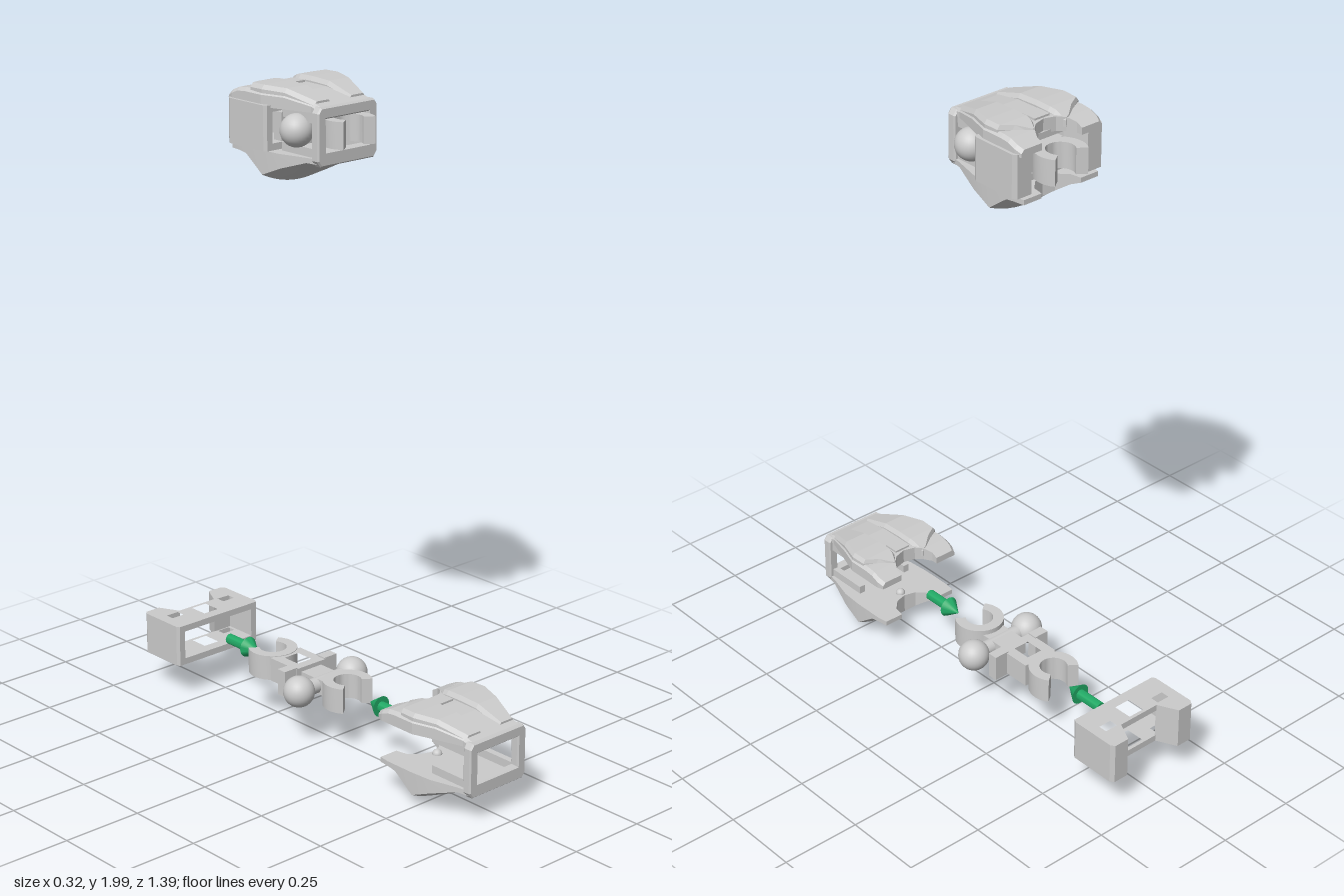
import * as THREE from 'three';
import { toCreasedNormals } from 'three/addons/utils/BufferGeometryUtils.js';

const grey = new THREE.MeshStandardMaterial({ color: 0xcccccc });
const green = new THREE.MeshStandardMaterial({ color: 0x22aa66 });

function add(group, name, geometry, material = grey) {
  const mesh = new THREE.Mesh(geometry, material);
  mesh.name = name;
  group.add(mesh);
  return mesh;
}

const box = (x0, x1, y0, y1, z0, z1) =>
  new THREE.BoxGeometry(x1 - x0, y1 - y0, z1 - z0).translate((x0 + x1) / 2, (y0 + y1) / 2, (z0 + z1) / 2);

// Closed loft through rings of [x, y]; stations run towards +z, rings are counter-clockwise
function loft(stations, side = 1) {
  const rings = stations.map(({ z, ring }) => {
    const r = ring.map(([x, y]) => [x * side, y, z]);
    return side < 0 ? r.reverse() : r;
  });
  const pos = [];
  const tri = (...pts) => pts.forEach(p => pos.push(...p));
  const n = rings[0].length, last = rings[rings.length - 1];
  for (let i = 0; i < rings.length - 1; i++) {
    for (let j = 0; j < n; j++) {
      const k = (j + 1) % n, a = rings[i], b = rings[i + 1];
      tri(a[j], a[k], b[k]);
      tri(a[j], b[k], b[j]);
    }
  }
  for (let j = 1; j < n - 1; j++) {
    tri(rings[0][0], rings[0][j + 1], rings[0][j]);
    tri(last[0], last[j], last[j + 1]);
  }
  const g = new THREE.BufferGeometry();
  g.setAttribute('position', new THREE.Float32BufferAttribute(pos, 3));
  g.computeVertexNormals();
  return g;
}

// Extrude a plan outline of [x, z] from y0 to y1
function plan(points, y0, y1, holes = []) {
  const toPts = list => list.map(([x, z]) => new THREE.Vector2(x, -z));
  const shape = new THREE.Shape(toPts(points));
  shape.holes = holes.map(h => new THREE.Path(toPts(h)));
  const g = new THREE.ExtrudeGeometry(shape, { depth: y1 - y0, bevelEnabled: false });
  return toCreasedNormals(g.rotateX(-Math.PI / 2).translate(0, y0, 0), 0.5);
}

const rect = (x0, x1, z0, z1) => [[x0, z0], [x1, z0], [x1, z1], [x0, z1]];

// Open clip ring; dir is the z direction of its mouth
function clip(zc, dir) {
  const pts = [], half = 0.93, n = 24;
  for (const [r, flip] of [[0.075, false], [0.042, true]]) {
    for (let i = 0; i <= n; i++) {
      const t = flip ? 1 - i / n : i / n;
      const a = half + t * (2 * Math.PI - 2 * half);
      pts.push([Math.sin(a) * r, zc + dir * Math.cos(a) * r]);
    }
  }
  return plan(pts, 0.14, 0.218);
}

// Outer shell: front frame, top plate with raised panels, keeled bottom plate
function shell() {
  const g = new THREE.Group();
  g.name = 'outerShell';
  // z, inner x, outer x, top y
  const top = [
    [0.355, 0.072, 0.145, 0.258], [0.375, 0.072, 0.152, 0.268], [0.4, 0.058, 0.152, 0.278],
    [0.42, 0.037, 0.152, 0.28], [0.43, 0, 0.152, 0.281], [0.5, 0, 0.152, 0.281],
    [0.57, 0, 0.129, 0.28], [0.655, 0, 0.102, 0.264], [0.685, 0, 0.102, 0.255],
  ].map(([z, a, b, y]) => ({ z, ring: [[a, 0.237], [b, 0.237], [b, y - 0.01], [b - 0.01, y], [a, y]] }));
  // z, inner x, outer x, top y
  const panel = [
    [0.4, 0.055, 0.068, 0.281], [0.43, 0.037, 0.11, 0.293], [0.45, 0.034, 0.146, 0.297],
    [0.5, 0.034, 0.148, 0.298], [0.57, 0.034, 0.125, 0.295], [0.662, 0.034, 0.096, 0.268],
  ].map(([z, a, b, y]) => {
    const c = Math.min(0.009, (b - a) / 3);
    return { z, ring: [[a, 0.25], [b, 0.25], [b, y - 0.012], [b - c, y], [a + c, y], [a, y - 0.012]] };
  });
  // z, inner x, outer x, bottom y, top y; the underside bows down to the middle
  const bottom = [
    [0.355, 0.072, 0.135, 0.088, 0.11], [0.39, 0.066, 0.14, 0.072, 0.11], [0.42, 0.037, 0.14, 0.057, 0.11],
    [0.43, 0, 0.14, 0.05, 0.11], [0.49, 0, 0.14, 0.006, 0.11], [0.56, 0, 0.135, 0.037, 0.11],
    [0.645, 0, 0.112, 0.076, 0.11], [0.685, 0, 0.105, 0.088, 0.11],
  ].map(([z, a, b, y0, y1]) => {
    const ring = [];
    for (let i = 0; i <= 6; i++) {
      const x = a + (b - a) * i / 6;
      ring.push([x, Math.min(y1 - 0.015, y0 + 1.7 * x * x)]);
    }
    return { z, ring: [...ring, [b, y1], [a, y1]] };
  });
  for (const s of [1, -1]) {
    add(g, 'topPlate', loft(top, s));
    add(g, 'raisedPanel', loft(panel, s));
    add(g, 'bottomPlate', toCreasedNormals(loft(bottom, s), 0.4));
    // Guide rails behind the front frame
    const x0 = s > 0 ? 0.08 : -0.1;
    add(g, 'upperRail', box(x0, x0 + 0.02, 0.207, 0.24, 0.53, 0.68));
    add(g, 'lowerRail', box(x0, x0 + 0.02, 0.108, 0.135, 0.53, 0.68));
  }
  // Front frame with a window
  const shape = new THREE.Shape([
    [-0.1, 0.088], [0.1, 0.088], [0.112, 0.105], [0.112, 0.24], [0.1, 0.256],
    [-0.1, 0.256], [-0.112, 0.24], [-0.112, 0.105],
  ].map(p => new THREE.Vector2(...p)));
  shape.holes.push(new THREE.Path([[-0.08, 0.13], [-0.08, 0.222], [0.08, 0.222], [0.08, 0.13]]
    .map(p => new THREE.Vector2(...p))));
  add(g, 'frontFrame', new THREE.ExtrudeGeometry(shape, {
    depth: 0.02, bevelEnabled: true, bevelThickness: 0.005, bevelSize: 0.004, bevelOffset: -0.004, bevelSegments: 1,
  }).translate(0, 0, 0.67));
  // Small locking pegs on the centre line
  add(g, 'topTab', box(-0.027, 0.027, 0.26, 0.287, 0.435, 0.485));
  for (const y of [0.237, 0.11]) {
    add(g, 'lockingPeg', new THREE.SphereGeometry(0.015, 16, 10).translate(0, y, 0.45));
  }
  return g;
}

// Inner core: two clips, pierced block and side balls
function core() {
  const g = new THREE.Group();
  g.name = 'innerCore';
  add(g, 'frontClip', clip(0.067, 1));
  add(g, 'rearClip', clip(-0.27, -1));
  add(g, 'piercedBlock', plan(rect(-0.06, 0.06, -0.212, -0.095), 0.142, 0.216,
    [rect(-0.027, 0.027, -0.185, -0.125)]));
  add(g, 'neck', box(-0.04, 0.04, 0.155, 0.203, -0.1, 0.015));
  add(g, 'crossTab', box(-0.105, -0.055, 0.138, 0.22, -0.128, -0.096));
  add(g, 'crossTab', box(0.055, 0.105, 0.138, 0.22, -0.128, -0.096));
  add(g, 'ballAxle', new THREE.CylinderGeometry(0.024, 0.024, 0.18, 20).rotateZ(Math.PI / 2).translate(0, 0.18, -0.03));
  for (const s of [1, -1]) {
    add(g, 'sideBall', new THREE.SphereGeometry(0.048, 28, 18).translate(s * 0.107, 0.18, -0.03));
  }
  return g;
}

// Rear sleeve: two pierced plates joined by side walls that end in prongs
function sleeve() {
  const g = new THREE.Group();
  g.name = 'rearSleeve';
  const holes = [rect(-0.027, 0.027, -0.625, -0.565), rect(-0.125, -0.082, -0.63, -0.602), rect(0.082, 0.125, -0.63, -0.602)];
  for (const y of [0.115, 0.225]) {
    add(g, 'sleevePlate', plan(rect(-0.152, 0.152, -0.636, -0.53), y, y + 0.02, holes));
  }
  for (const s of [1, -1]) {
    const wall = [[0.155, -0.53], [0.161, -0.54], [0.161, -0.685], [0.152, -0.698], [0.102, -0.698],
      [0.07, -0.634], [0.135, -0.634], [0.135, -0.53]];
    add(g, 'sideWall', plan(wall.map(([x, z]) => [x * s, z]), 0.115, 0.245));
  }
  return g;
}

// Assembly arrow pointing along z
function arrow(tail, dir) {
  const profile = [[0, 0], [0.016, 0], [0.016, 0.088], [0.032, 0.088], [0, 0.136]];
  const g = new THREE.LatheGeometry(profile.map(p => new THREE.Vector2(...p)), 24);
  const mesh = new THREE.Mesh(toCreasedNormals(g.rotateX(dir * Math.PI / 2), 0.6), green);
  mesh.name = 'arrow';
  mesh.position.set(0, 0.18, tail);
  return mesh;
}

export function createModel() {
  const model = new THREE.Group();
  // Separated parts below, joined copy above
  const place = (part, y, z) => {
    part.position.set(0, y, z);
    model.add(part);
  };
  place(shell(), 0, 0);
  place(core(), 0, 0);
  place(sleeve(), 0, 0);
  model.add(arrow(0.302, -1), arrow(-0.476, 1));
  const joined = new THREE.Group();
  joined.name = 'joinedAssembly';
  const parts = [shell(), core(), sleeve()];
  parts[0].position.z = -0.63;
  parts[2].position.z = 0.43;
  joined.add(...parts);
  place(joined, 1.702, 0);
  return model;
}
